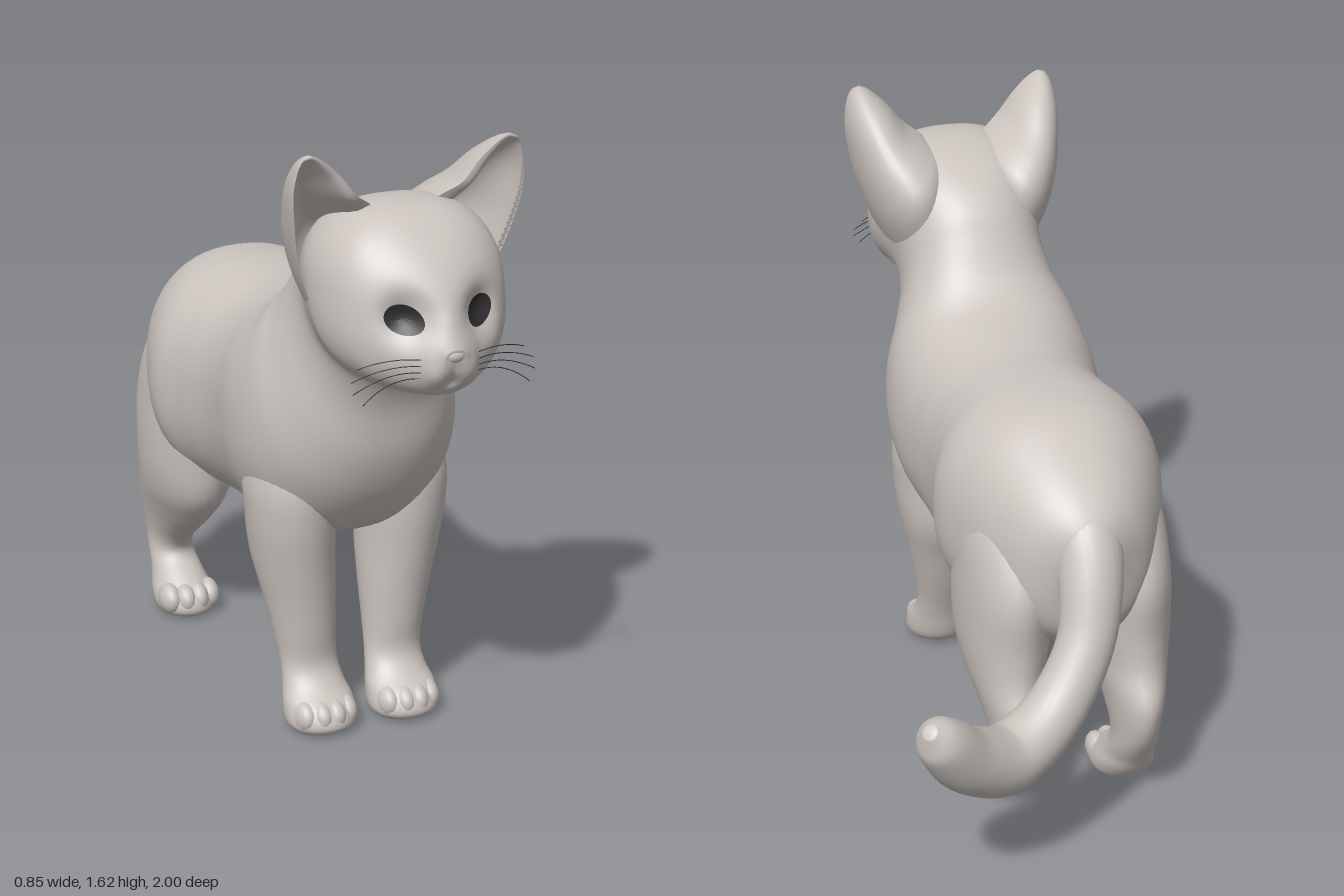
import * as THREE from 'three';

const fur = new THREE.MeshStandardMaterial({ color: 0xcac3be, side: THREE.DoubleSide });
fur.name = 'fur';
const dark = new THREE.MeshStandardMaterial({ color: 0x2e2e30, side: THREE.DoubleSide });
dark.name = 'dark';

// Sideways centres of the chest, the head and the hips
const MID = -0.107, HEAD = 0.009, HIPS = -0.011;
const { smoothstep } = THREE.MathUtils;

// Catmull-Rom interpolation of rows of numbers
function refine(rows, steps) {
  const out = [];
  const at = (i) => rows[Math.min(rows.length - 1, Math.max(0, i))];
  for (let i = 0; i < rows.length - 1; i++) {
    for (let s = 0; s < steps; s++) {
      const t = s / steps;
      out.push(rows[i].map((b, k) => {
        const a = at(i - 1)[k], c = at(i + 1)[k], d = at(i + 2)[k];
        return b + 0.5 * t * (c - a + t * (2 * a - 5 * b + 4 * c - d + t * (3 * (b - c) + d - a)));
      }));
    }
  }
  out.push(rows[rows.length - 1]);
  return out;
}

// Closed smooth skin over a list of rings, capped at both ends
function skin(rings) {
  const n = rings[0].length, pos = [], idx = [];
  rings.forEach((r) => r.forEach((p) => pos.push(p.x, p.y, p.z)));
  for (let i = 0; i < rings.length - 1; i++) {
    for (let j = 0; j < n; j++) {
      const a = i * n + j, b = i * n + (j + 1) % n;
      idx.push(a, b, a + n, b, b + n, a + n);
    }
  }
  [0, rings.length - 1].forEach((i) => {
    const c = rings[i].reduce((s, p) => s.add(p), new THREE.Vector3()).divideScalar(n);
    const m = pos.length / 3;
    pos.push(c.x, c.y, c.z);
    for (let j = 0; j < n; j++) {
      const a = i * n + j, b = i * n + (j + 1) % n;
      if (i === 0) idx.push(m, b, a); else idx.push(m, a, b);
    }
  });
  // turn the faces outward if the enclosed volume is negative
  let volume = 0;
  const v = (i) => new THREE.Vector3().fromArray(pos, i * 3);
  for (let i = 0; i < idx.length; i += 3) volume += v(idx[i]).dot(v(idx[i + 1]).cross(v(idx[i + 2])));
  if (volume < 0) idx.reverse();
  const g = new THREE.BufferGeometry();
  g.setAttribute('position', new THREE.Float32BufferAttribute(pos, 3));
  g.setIndex(idx);
  g.computeVertexNormals();
  return g;
}

const ring = (n, fn) => Array.from({ length: n }, (_, j) => fn((j / n) * Math.PI * 2));
const soft = (v, e) => Math.sign(v) * Math.abs(v) ** e;
const bump = (dx, dy, r) => Math.exp(-(dx * dx + dy * dy) / (r * r));

// Sculpted face: eye sockets, muzzle pads and the groove under the nose
function sculpt(p) {
  const k = smoothstep(p.z, 0.8, 0.88), ax = Math.abs(p.x);
  p.z += k * (-0.05 * bump(ax - 0.095, p.y - 1.25, 0.055) + 0.012 * bump(ax - 0.042, p.y - 1.12, 0.038)
    - 0.01 * bump(ax, p.y - 1.095, 0.018));
  return p;
}

export function createModel() {
  const cat = new THREE.Group();
  cat.name = 'cat';
  cat.position.x = MID;
  const add = (name, geometry, material = fur) => {
    const m = new THREE.Mesh(geometry, material);
    m.name = name;
    cat.add(m);
    return m;
  };

  // Body, neck and head: top z, top y, bottom z, bottom y, half width
  const spine = [
    [-0.635, 0.80, -0.60, 0.72, 0.03], [-0.62, 0.88, -0.59, 0.62, 0.09],
    [-0.55, 0.955, -0.56, 0.54, 0.165], [-0.45, 1.02, -0.46, 0.47, 0.228],
    [-0.33, 1.075, -0.33, 0.44, 0.278], [-0.2, 1.09, -0.2, 0.435, 0.307],
    [-0.08, 1.09, -0.1, 0.44, 0.282], [0.02, 1.09, 0.02, 0.45, 0.267],
    [0.12, 1.105, 0.15, 0.46, 0.272], [0.2, 1.125, 0.32, 0.48, 0.29],
    [0.25, 1.15, 0.47, 0.54, 0.288], [0.29, 1.185, 0.57, 0.65, 0.27],
    [0.32, 1.225, 0.63, 0.78, 0.235], [0.36, 1.29, 0.655, 0.92, 0.205],
    [0.40, 1.35, 0.69, 1.0, 0.20], [0.47, 1.41, 0.73, 1.035, 0.22],
    [0.57, 1.46, 0.77, 1.04, 0.24], [0.68, 1.48, 0.81, 1.04, 0.237],
    [0.78, 1.465, 0.86, 1.045, 0.213], [0.87, 1.40, 0.905, 1.05, 0.166],
    [0.93, 1.33, 0.93, 1.055, 0.12], [0.968, 1.26, 0.95, 1.07, 0.078],
    [0.986, 1.215, 0.965, 1.09, 0.055], [0.998, 1.185, 0.982, 1.135, 0.028],
  ];
  const body = add('bodyAndHead', skin(refine(spine, 6).map(([zt, yt, zb, yb, w]) => {
    const e = 0.88 - 0.08 * smoothstep(yt, 1.36, 1.46);
    const shift = HEAD * smoothstep(zb, 0.6, 0.75) + HIPS * (1 - smoothstep(zt, -0.2, 0.1));
    return ring(64, (a) => {
      const f = (1 - soft(Math.cos(a), e)) / 2;
      const p = sculpt(new THREE.Vector3(w * soft(Math.sin(a), e), yt + (yb - yt) * f, zt + (zb - zt) * f));
      p.x += shift;
      return p;
    });
  })));

  // Legs: y, front z, back z, offset from the middle, half width
  const foreLeg = [
    [0.9, 0.45, 0.33, 0.14, 0.05], [0.7, 0.51, 0.22, 0.158, 0.107], [0.58, 0.512, 0.225, 0.157, 0.113],
    [0.46, 0.495, 0.23, 0.148, 0.108], [0.35, 0.48, 0.27, 0.136, 0.096], [0.25, 0.47, 0.305, 0.127, 0.084],
    [0.165, 0.465, 0.34, 0.12, 0.077], [0.11, 0.50, 0.36, 0.118, 0.083], [0.075, 0.55, 0.37, 0.118, 0.093],
    [0.03, 0.572, 0.385, 0.118, 0.095], [0.005, 0.55, 0.41, 0.118, 0.078], [0, 0.52, 0.44, 0.118, 0.05],
  ];
  const hindLeg = [
    [0.95, -0.24, -0.40, 0.12, 0.06], [0.8, -0.13, -0.5, 0.15, 0.112], [0.65, -0.085, -0.57, 0.16, 0.121],
    [0.5, -0.105, -0.562, 0.165, 0.12], [0.4, -0.14, -0.57, 0.17, 0.103], [0.32, -0.22, -0.605, 0.168, 0.083],
    [0.26, -0.30, -0.605, 0.166, 0.07], [0.2, -0.375, -0.585, 0.165, 0.061], [0.15, -0.395, -0.555, 0.165, 0.062],
    [0.1, -0.33, -0.52, 0.165, 0.07], [0.06, -0.28, -0.495, 0.165, 0.083], [0.025, -0.268, -0.465, 0.165, 0.084],
    [0.004, -0.285, -0.44, 0.165, 0.07], [0, -0.32, -0.41, 0.165, 0.045],
  ];
  // Ears: inner x, y, outer x, y, front z, back z
  const ear = [
    [0.03, 1.37, 0.165, 1.10, 0.66, 0.47], [0.06, 1.445, 0.242, 1.25, 0.675, 0.44],
    [0.095, 1.477, 0.28, 1.36, 0.70, 0.47],
    [0.14, 1.51, 0.299, 1.46, 0.725, 0.535], [0.185, 1.565, 0.303, 1.53, 0.73, 0.60],
    [0.23, 1.605, 0.293, 1.588, 0.735, 0.67], [0.258, 1.619, 0.277, 1.614, 0.735, 0.715],
  ];

  const caster = new THREE.Raycaster();
  const faceZ = (x, y) => {
    caster.set(new THREE.Vector3(x, y, 2), new THREE.Vector3(0, 0, -1));
    return caster.intersectObject(body)[0].point.z;
  };

  for (const s of [1, -1]) {
    const side = s > 0 ? 'left' : 'right';
    const leg = (rows, shift) => skin(refine(rows, 4).map(([y, zf, zb, x, w]) => ring(32, (a) =>
      new THREE.Vector3(shift + s * (x + w * Math.sin(a)), y, (zf + zb) / 2 + (zf - zb) / 2 * Math.cos(a)))));
    add(side + 'ForeLeg', leg(foreLeg, 0));
    add(side + 'HindLeg', leg(hindLeg, HIPS));

    // Toes
    for (const [name, x, z] of [['ForeToe', s * 0.118, 0.523], ['HindToe', HIPS + s * 0.165, -0.315]]) {
      for (let i = 0; i < 4; i++) {
        const u = i - 1.5;
        const toe = add(side + name, new THREE.SphereGeometry(1, 16, 12));
        toe.scale.set(0.031, 0.043, 0.05);
        toe.position.set(x + u * 0.038, 0.048, z - Math.abs(u) * 0.017 + 0.005);
      }
    }

    // Ear cup, hollowed toward its outer edge
    add(side + 'Ear', skin(refine(ear, 6).map(([xi, yi, xo, yo, zf, zb]) => ring(40, (a) => {
      const f = (1 - Math.cos(a)) / 2, d = zf - zb;
      const depth = Math.sin(a) > 0 ? d : Math.max(0, d - 0.035) * 0.85 * smoothstep(f, 0.1, 0.55);
      return new THREE.Vector3(HEAD + s * (xi + (xo - xi) * f), yi + (yo - yi) * f, zf - depth * Math.abs(Math.sin(a)));
    }))));

    // Eye plate following the face
    const eye = new THREE.RingGeometry(0.001, 1, 28, 5);
    const p = eye.attributes.position;
    for (let i = 0; i < p.count; i++) {
      const x = HEAD + s * 0.099 + p.getX(i) * 0.042;
      const y = 1.248 + p.getY(i) * 0.036 + s * p.getX(i) * 0.004;
      p.setXYZ(i, x, y, faceZ(x, y) + 0.005);
    }
    eye.computeVertexNormals();
    add(side + 'Eye', eye, dark);

    // Whiskers
    for (let i = 0; i < 4; i++) {
      const y = 1.16 - i * 0.016, end = 1.14 - i * 0.026, x = HEAD + s * 0.07;
      const path = new THREE.QuadraticBezierCurve3(
        new THREE.Vector3(x, y, faceZ(x, y) - 0.005),
        new THREE.Vector3(HEAD + s * 0.15, y + 0.012, 0.94),
        new THREE.Vector3(HEAD + s * (0.25 - Math.abs(i - 1.5) * 0.02), end, 0.91 + i * 0.012));
      add(side + 'Whisker', new THREE.TubeGeometry(path, 12, 0.0011, 5), dark);
    }
  }

  // Nose
  const nose = add('nose', new THREE.SphereGeometry(1, 20, 14));
  nose.scale.set(0.03, 0.02, 0.022);
  nose.position.set(HEAD, 1.17, 0.978);

  // Tail: x, y, z, radius
  const tail = [
    [-0.01, 0.92, -0.44, 0.06], [-0.01, 0.84, -0.545, 0.085], [-0.004, 0.74, -0.615, 0.085],
    [0.03, 0.59, -0.685, 0.075], [0.13, 0.44, -0.745, 0.08], [0.265, 0.365, -0.805, 0.091],
    [0.385, 0.42, -0.875, 0.086], [0.457, 0.505, -0.928, 0.072], [0.488, 0.55, -0.952, 0.054],
    [0.51, 0.578, -0.972, 0.018],
  ];
  const line = refine(tail, 6);
  add('tail', skin(line.map((q, i) => {
    const a = line[Math.max(0, i - 1)], b = line[Math.min(line.length - 1, i + 1)];
    const t = new THREE.Vector3(b[0] - a[0], b[1] - a[1], b[2] - a[2]).normalize();
    const u = new THREE.Vector3(0, 0, 1).cross(t).normalize(), w = t.clone().cross(u);
    return ring(28, (g) => new THREE.Vector3(q[0], q[1], q[2])
      .addScaledVector(u, q[3] * Math.cos(g)).addScaledVector(w, q[3] * Math.sin(g)));
  })));

  const root = new THREE.Group();
  root.add(cat);
  return root;
}
